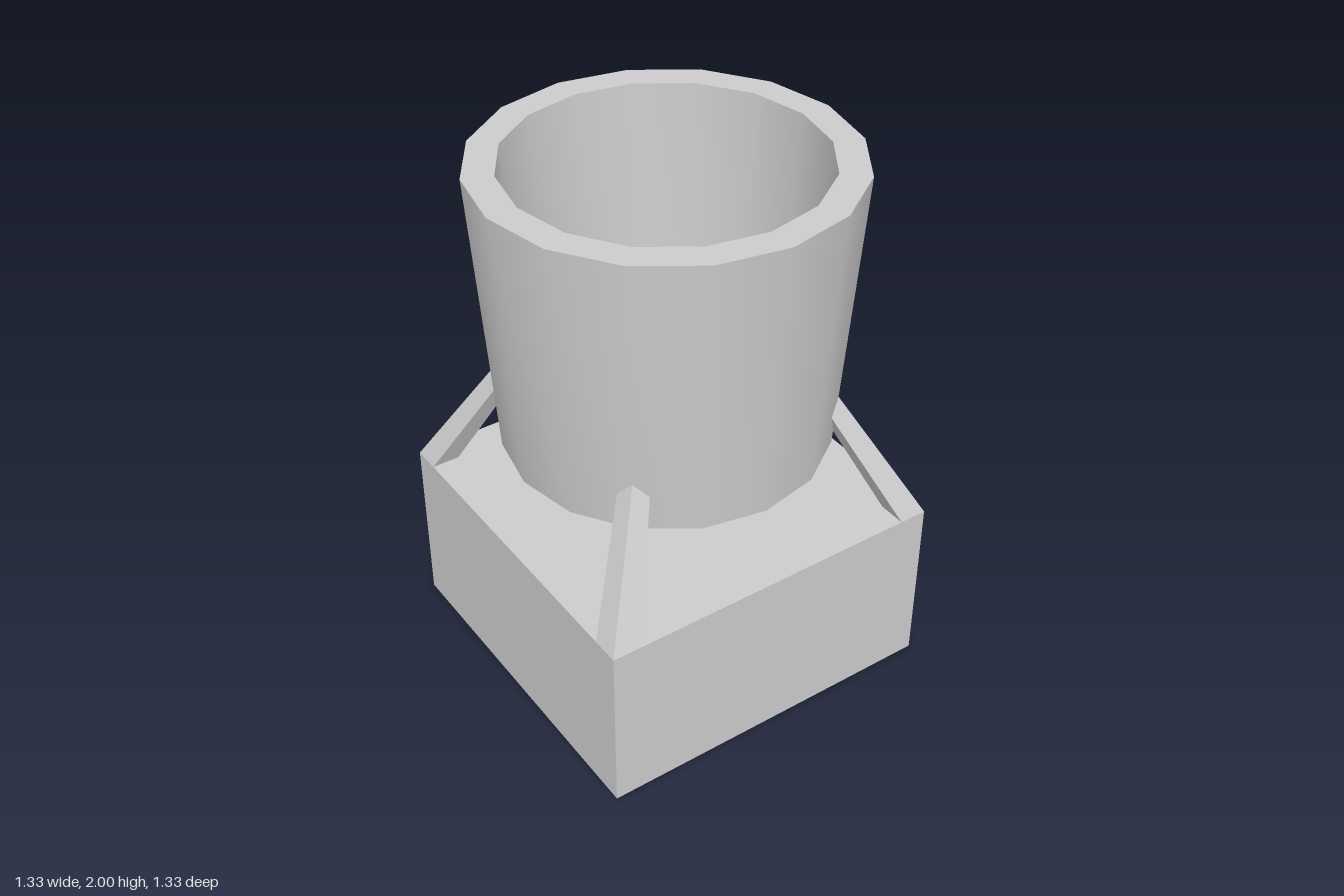
import * as THREE from 'three';
import { toCreasedNormals } from 'three/addons/utils/BufferGeometryUtils.js';

const HALF = 0.666, DECK = 0.667;
const FOOT = 0.053, TIP = 0.0335; // half widths of a strut at foot and tip
const STRUT_TOP = 1.225, TIP_CENTRE = 0.348;

const smooth = new THREE.MeshStandardMaterial({ color: 0xcccccc });
const shell = new THREE.MeshStandardMaterial({ color: 0xcccccc, flatShading: true, side: THREE.DoubleSide });

function lathe(points, sides, phase = 0) {
  return new THREE.LatheGeometry(points.map(([r, y]) => new THREE.Vector2(r, y)), sides, phase);
}

function add(parent, name, geometry, material) {
  const mesh = new THREE.Mesh(geometry, material);
  mesh.name = name;
  parent.add(mesh);
}

export function createModel() {
  const model = new THREE.Group();
  model.name = 'cupOnBase';

  // Hollow square base, open underneath
  const corner = HALF * Math.SQRT2;
  add(model, 'baseWalls', lathe([[corner, 0], [corner, DECK]], 4, Math.PI / 4), shell);

  // Deck, notched at the corners where the hollow struts open into the base
  const a = HALF, b = HALF - 2 * FOOT;
  const outline = [[b, -a], [b, -b], [a, -b], [a, b], [b, b], [b, a],
    [-b, a], [-b, b], [-a, b], [-a, -b], [-b, -b], [-b, -a]];
  const deck = new THREE.ShapeGeometry(new THREE.Shape(outline.map(([x, y]) => new THREE.Vector2(x, y))));
  deck.rotateX(-Math.PI / 2).translate(0, DECK, 0);
  add(model, 'baseDeck', deck, shell);

  // Tapered struts leaning in from the corners through the cup wall
  const height = STRUT_TOP - DECK, footCentre = HALF - FOOT;
  for (const sx of [-1, 1]) {
    for (const sz of [-1, 1]) {
      const strut = lathe([[FOOT * Math.SQRT2, 0], [TIP * Math.SQRT2, height], [0, height]], 4, Math.PI / 4);
      const p = strut.attributes.position;
      for (let i = 0; i < p.count; i++) {
        const offset = THREE.MathUtils.lerp(footCentre, TIP_CENTRE, p.getY(i) / height);
        p.setXYZ(i, p.getX(i) + sx * offset, p.getY(i) + DECK, p.getZ(i) + sz * offset);
      }
      add(model, (sz > 0 ? 'front' : 'back') + (sx > 0 ? 'Left' : 'Right') + 'Strut', strut, shell);
    }
  }

  // Flared cup with a thick wall and closed floor
  const cup = lathe([[0, 0.935], [0.592, 0.935], [0.667, 2], [0.557, 2], [0.504, 1.03], [0, 1.03]], 16);
  add(model, 'cup', toCreasedNormals(cup, 0.6), smooth);

  return model;
}
